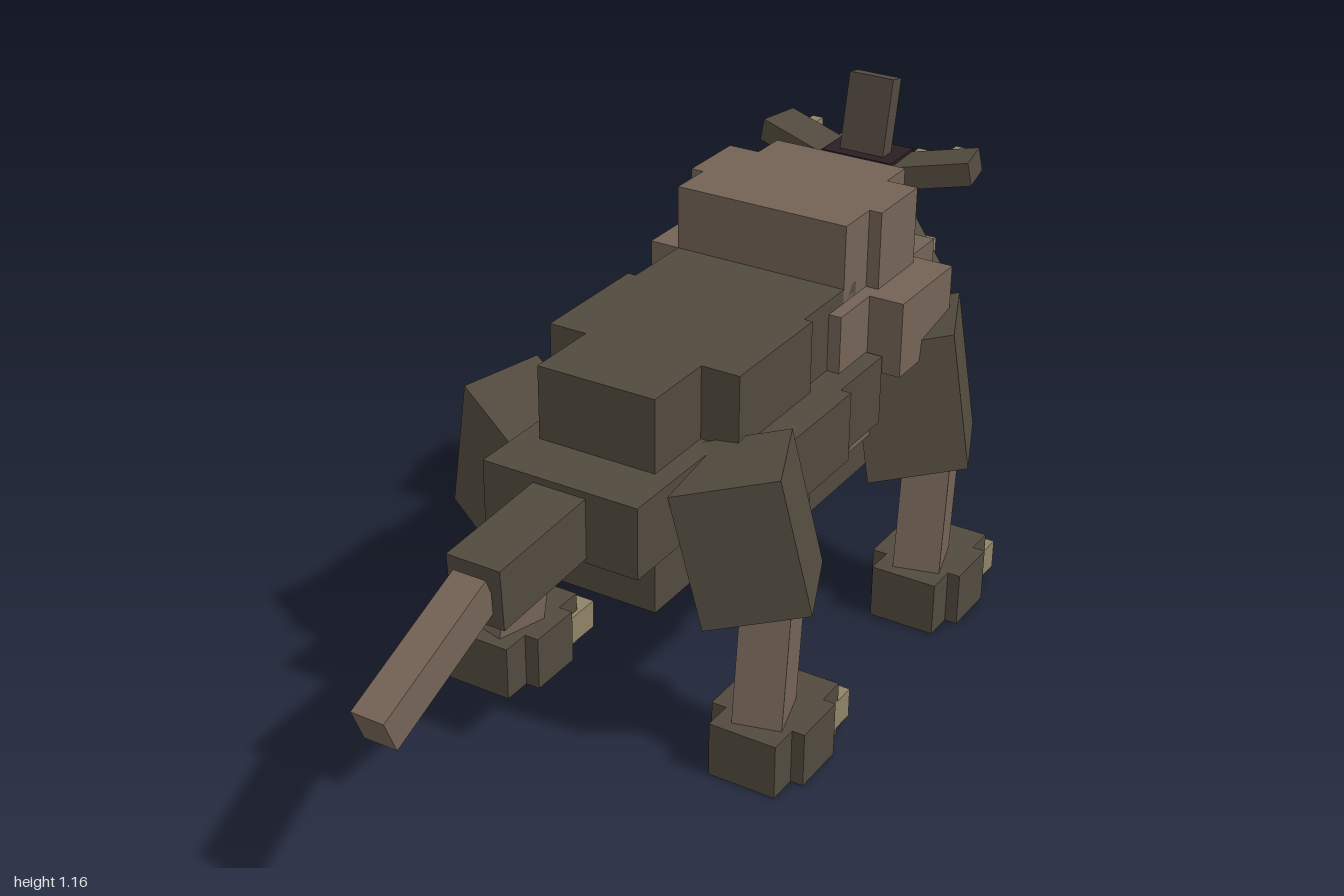
import * as THREE from 'three';

const mat = (name, color) => Object.assign(new THREE.MeshStandardMaterial({ color }), { name });

export function createModel() {
  const model = new THREE.Group();
  model.name = 'beast';
  const hide = mat('dark hide', 0x524a3e);
  const skin = mat('brown skin', 0x746356);
  const horn = mat('claw tan', 0x8f8367);
  const maw = mat('maw black', 0x2a1e22);

  const add = (name, geo, material, parent = model) => {
    const m = new THREE.Mesh(geo, material);
    m.name = name;
    parent.add(m);
    return m;
  };
  // axis-aligned block from its ranges
  const block = (name, material, x0, x1, y0, y1, z0, z1, parent) =>
    add(name, new THREE.BoxGeometry(x1 - x0, y1 - y0, z1 - z0)
      .translate((x0 + x1) / 2, (y0 + y1) / 2, (z0 + z1) / 2), material, parent);
  // block spanned by three edge vectors from one corner, s mirrors in x
  const slab = (name, material, s, corner, edges, parent) => {
    const [u, v, w] = edges.map(e => new THREE.Vector3(e[0] * s, e[1], e[2]));
    const c = new THREE.Vector3(corner[0] * s, corner[1], corner[2])
      .addScaledVector(u, 0.5).addScaledVector(v, 0.5).addScaledVector(w, 0.5);
    const m = new THREE.Matrix4().makeBasis(u, v, w);
    if (m.determinant() < 0) m.makeBasis(u.negate(), v, w);
    return add(name, new THREE.BoxGeometry(1, 1, 1).applyMatrix4(m.setPosition(c)), material, parent);
  };
  // rotated block
  const turned = (name, material, size, pos, rot, parent) => {
    const m = add(name, new THREE.BoxGeometry(...size), material, parent);
    m.position.set(...pos);
    m.rotation.set(...rot);
    return m;
  };

  // body layers: half width, y range, z range
  [
    ['back', hide, 0.14, 0.70, 0.87, 0.08, 0.255],
    ['back', hide, 0.23, 0.70, 0.87, -0.22, 0.08],
    ['back', hide, 0.21, 0.70, 0.87, -0.45, -0.22],
    ['flank', hide, 0.185, 0.54, 0.703, 0.1, 0.39],
    ['flank', hide, 0.305, 0.54, 0.703, -0.265, 0.1],
    ['flank', hide, 0.28, 0.54, 0.703, -0.455, -0.265],
    ['belly', hide, 0.14, 0.375, 0.54, 0.1, 0.255],
    ['belly', hide, 0.23, 0.375, 0.54, -0.235, 0.1],
    ['belly', hide, 0.21, 0.375, 0.54, -0.55, -0.235],
    ['hump', skin, 0.21, 0.835, 1.017, -0.5, -0.395],
    ['hump', skin, 0.24, 0.835, 1.017, -0.67, -0.5],
    ['hump', skin, 0.165, 0.835, 1.017, -0.757, -0.67],
    ['shoulder', skin, 0.24, 0.66, 0.837, -0.46, -0.33],
    ['shoulder', skin, 0.322, 0.66, 0.837, -0.7, -0.46],
    ['shoulder', skin, 0.22, 0.66, 0.837, -0.815, -0.7],
    ['chest', skin, 0.24, 0.48, 0.66, -0.67, -0.395],
    ['chest', skin, 0.2, 0.48, 0.66, -0.755, -0.67],
  ].forEach(([name, m, hw, y0, y1, z0, z1]) => block(name, m, -hw, hw, y0, y1, z0, z1));

  // tail
  turned('tailBase', hide, [0.126, 0.137, 0.3], [0, 0.611, 0.525], [0.06, 0, 0]);
  turned('tailTip', skin, [0.077, 0.085, 0.35], [0, 0.542, 0.835], [0.4, 0, 0]);

  // legs
  for (const s of [1, -1]) {
    for (const [name, dz, lean] of [['rearLeg', 0, -0.03], ['frontLeg', -0.775, 0.02]]) {
      const leg = new THREE.Group();
      leg.name = name;
      model.add(leg);
      slab('thigh', hide, s, [0.185, 0.675, 0.28 + dz],
        [[0.2, 0.05, -0.1], [0.065, -0.31, lean], [-0.07, 0.02, -0.17]], leg);
      const z = dz ? -0.738 : 0;
      slab('shin', skin, s, [0.285, 0.42, 0.155 + z],
        [[0.105, 0.01, -0.03], [0.015, -0.33, 0.06], [-0.035, 0.01, -0.125]], leg);
      const sx = (n, m, a, b, ...r) => block(n, m, Math.min(a * s, b * s), Math.max(a * s, b * s), ...r, leg);
      sx('foot', hide, 0.26, 0.42, 0, 0.13, -0.04 + z, 0.235 + z);
      sx('footSide', hide, 0.225, 0.45, 0, 0.13, 0.03 + z, 0.165 + z);
      sx('claw', horn, 0.25, 0.3, 0.015, 0.085, -0.093 + z, 0.003 + z);
      sx('claw', horn, 0.37, 0.42, 0.015, 0.085, -0.093 + z, 0.003 + z);
    }
  }

  // head with five open petals
  const head = new THREE.Group();
  head.name = 'head';
  model.add(head);
  block('maw', maw, -0.09, 0.09, 0.79, 0.985, -0.95, -0.835, head);
  block('throat', maw, -0.06, 0.06, 0.83, 0.95, -0.97, -0.95, head);
  turned('topPetal', hide, [0.112, 0.18, 0.042], [0, 1.07, -0.9], [-0.2, 0, 0], head);
  turned('topPetalGum', skin, [0.03, 0.14, 0.016], [0, 1.055, -0.95], [-0.16, 0, 0], head);
  const tooth = (x, y, z = -0.982) =>
    block('tooth', horn, x - 0.014, x + 0.014, y - 0.018, y + 0.018, z - 0.018, z + 0.025, head);
  tooth(0, 1.09);
  tooth(0, 1.03);
  for (const s of [1, -1]) {
    turned('sidePetal', hide, [0.2, 0.055, 0.105], [s * 0.165, 0.965, -0.905], [0, s * 0.2, s * 0.2], head);
    turned('lowerPetal', hide, [0.085, 0.19, 0.085], [s * 0.1, 0.755, -0.905], [0.1, 0, s * 0.55], head);
    tooth(s * 0.19, 0.975);
    tooth(s * 0.1, 0.955, -0.97);
    tooth(s * 0.07, 0.82, -0.975);
    tooth(s * 0.13, 0.74, -0.972);
  }
  return model;
}
